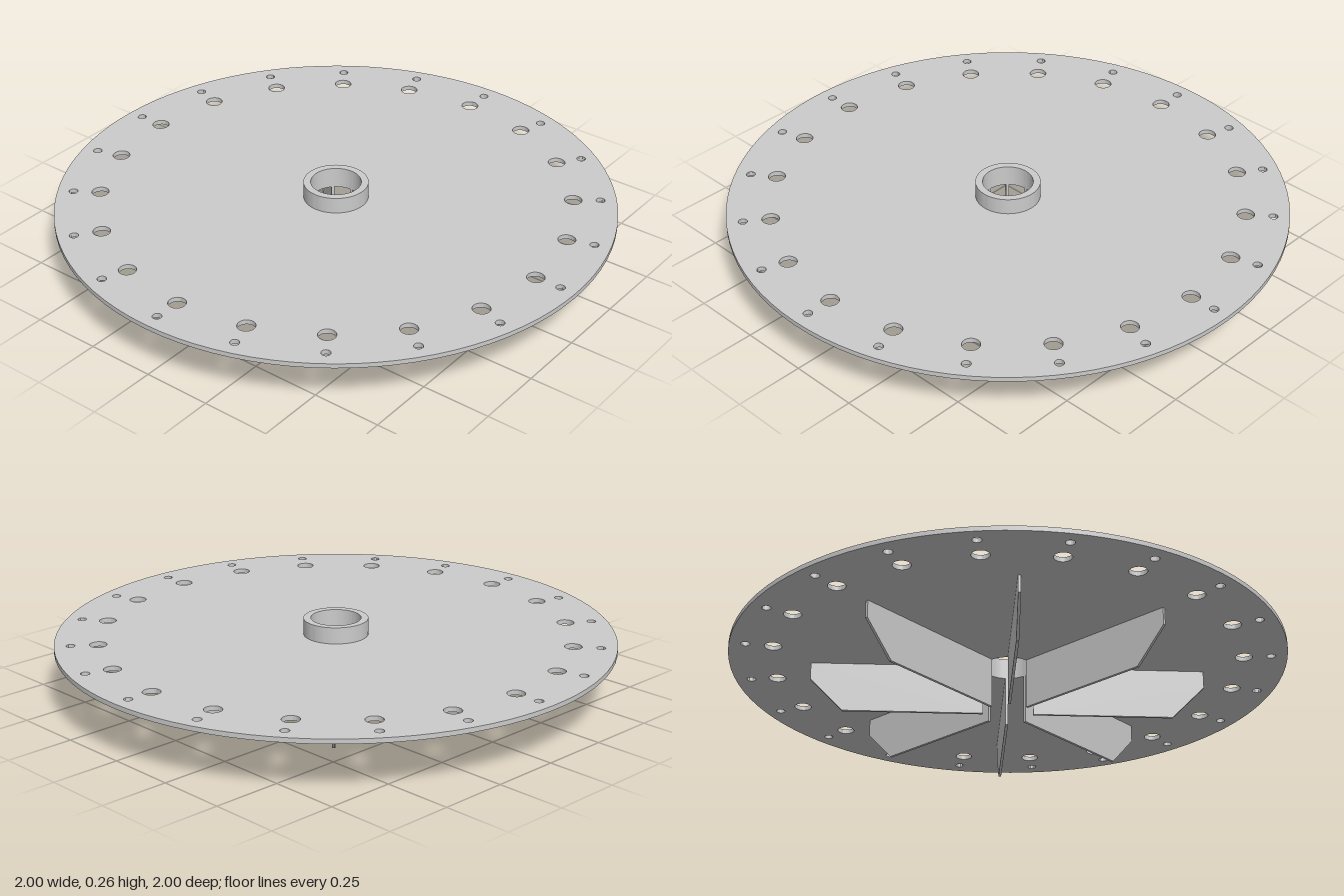
import * as THREE from 'three';
import { toCreasedNormals } from 'three/addons/utils/BufferGeometryUtils.js';

const BORE = 0.09, PLATE_BOTTOM = 0.183, PLATE_TOP = 0.2, HUB_TOP = 0.26;

function circleHole(x, y, r) {
  return new THREE.Path().absarc(x, y, r, 0, Math.PI * 2, true);
}

// Perforated disc lying flat between two heights
function flatDisc(radius, holes, y0, y1, segments) {
  const shape = new THREE.Shape().absarc(0, 0, radius, 0, Math.PI * 2, false);
  shape.holes.push(...holes);
  const geo = new THREE.ExtrudeGeometry(shape, { depth: y1 - y0, bevelEnabled: false, curveSegments: segments });
  geo.rotateX(-Math.PI / 2).translate(0, y0, 0);
  return toCreasedNormals(geo, Math.PI / 5);
}

export function createModel() {
  const model = new THREE.Group();
  model.name = 'bladedDisc';
  const material = new THREE.MeshStandardMaterial({ color: 0xcccccc });
  const add = (geo, name, parent = model) => {
    const mesh = new THREE.Mesh(geo, material);
    mesh.name = name;
    parent.add(mesh);
    return mesh;
  };

  // Plate with the bore and two rings of 20 holes
  const holes = [circleHole(0, 0, BORE)];
  for (let i = 0; i < 20; i++) {
    const a = (i / 20) * Math.PI * 2, c = Math.cos(a), s = Math.sin(a);
    holes.push(circleHole(c * 0.845, s * 0.845, 0.031));
    holes.push(circleHole(c * 0.942, s * 0.942, 0.016));
  }
  add(flatDisc(1, holes, PLATE_BOTTOM, PLATE_TOP, 48), 'plate');

  // Raised collar around the bore
  add(flatDisc(0.116, [circleHole(0, 0, BORE)], PLATE_TOP, HUB_TOP, 48), 'hubCollar');

  // Eight radial blades with a chamfered outer corner
  const profile = new THREE.Shape([
    [BORE, 0], [0.59, 0], [0.707, 0.12], [0.707, PLATE_BOTTOM], [BORE, PLATE_BOTTOM],
  ].map(([x, y]) => new THREE.Vector2(x, y)));
  const thickness = 0.01;
  const bladeGeo = new THREE.ExtrudeGeometry(profile, { depth: thickness, bevelEnabled: false });
  bladeGeo.translate(0, 0, -thickness / 2);
  const blades = new THREE.Group();
  blades.name = 'blades';
  for (let i = 0; i < 8; i++) {
    add(bladeGeo, 'blade', blades).rotation.y = (i * Math.PI) / 4;
  }
  model.add(blades);

  return model;
}
